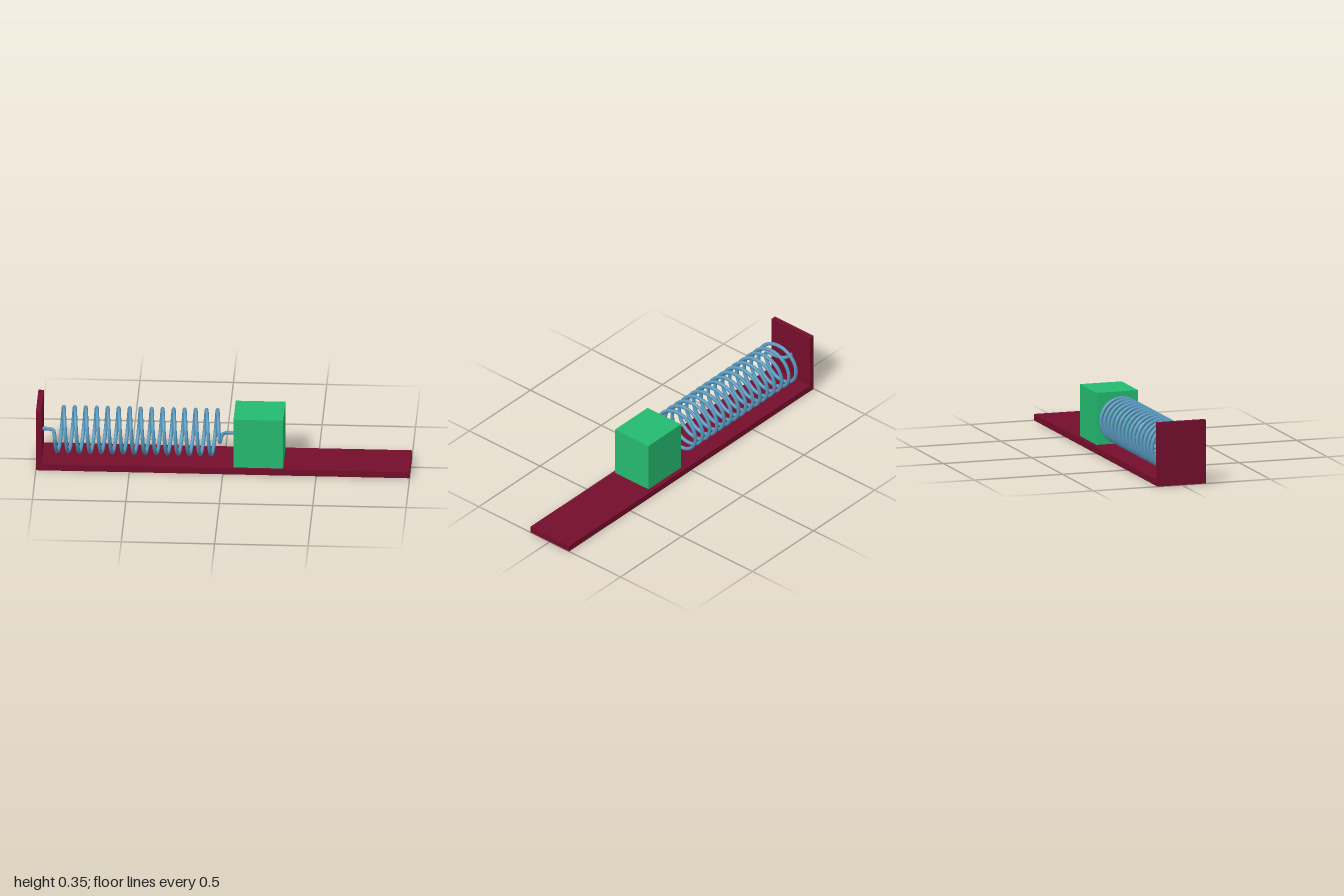
import * as THREE from 'three';

const maroon = new THREE.MeshStandardMaterial({ name: 'maroon', color: 0x740d2b });
const green = new THREE.MeshStandardMaterial({ name: 'green', color: 0x24ba70 });
const steelBlue = new THREE.MeshStandardMaterial({ name: 'steelBlue', color: 0x5898bd });

// Box given by its lower and upper corners
function box(name, material, [x0, y0, z0], [x1, y1, z1]) {
  const mesh = new THREE.Mesh(new THREE.BoxGeometry(x1 - x0, y1 - y0, z1 - z0), material);
  mesh.position.set((x0 + x1) / 2, (y0 + y1) / 2, (z0 + z1) / 2);
  mesh.name = name;
  return mesh;
}

// Coil with straight end rods on its axis
function makeSpring() {
  const turns = 15, perTurn = 16, radius = 0.12, wire = 0.01;
  const x0 = -0.9, x1 = -0.018, y = 0.18, z = -0.004;
  const points = [];
  const add = (px, py, pz) => points.push(new THREE.Vector3(px, py, pz));

  // rod from the wall, bending out to the coil
  add(-0.972, y, z);
  add(-0.935, y, z);
  add(-0.915, y, z + 0.015);
  add(-0.906, y, z + 0.06);
  // coil
  for (let i = 0; i <= turns * perTurn; i++) {
    const a = (i / perTurn) * Math.PI * 2;
    const x = x0 + (x1 - x0) * i / (turns * perTurn);
    add(x, y - radius * Math.sin(a), z + radius * Math.cos(a));
  }
  // bending back in to the rod at the block
  add(-0.012, y, z + 0.06);
  add(-0.003, y, z + 0.015);
  add(0.017, y, z);
  add(0.057, y, z);

  const path = new THREE.CatmullRomCurve3(points);
  path.arcLengthDivisions = 3000;
  const mesh = new THREE.Mesh(new THREE.TubeGeometry(path, 640, wire, 10, false), steelBlue);
  mesh.name = 'spring';
  return mesh;
}

export function createModel() {
  const model = new THREE.Group();
  model.name = 'springAndBlock';
  model.add(
    box('base', maroon, [-1, 0, -0.137], [1, 0.035, 0.137]),
    box('wall', maroon, [-1, 0.035, -0.137], [-0.971, 0.346, 0.137]),
    box('block', green, [0.057, 0.035, -0.113], [0.323, 0.318, 0.123]),
    makeSpring()
  );
  return model;
}
